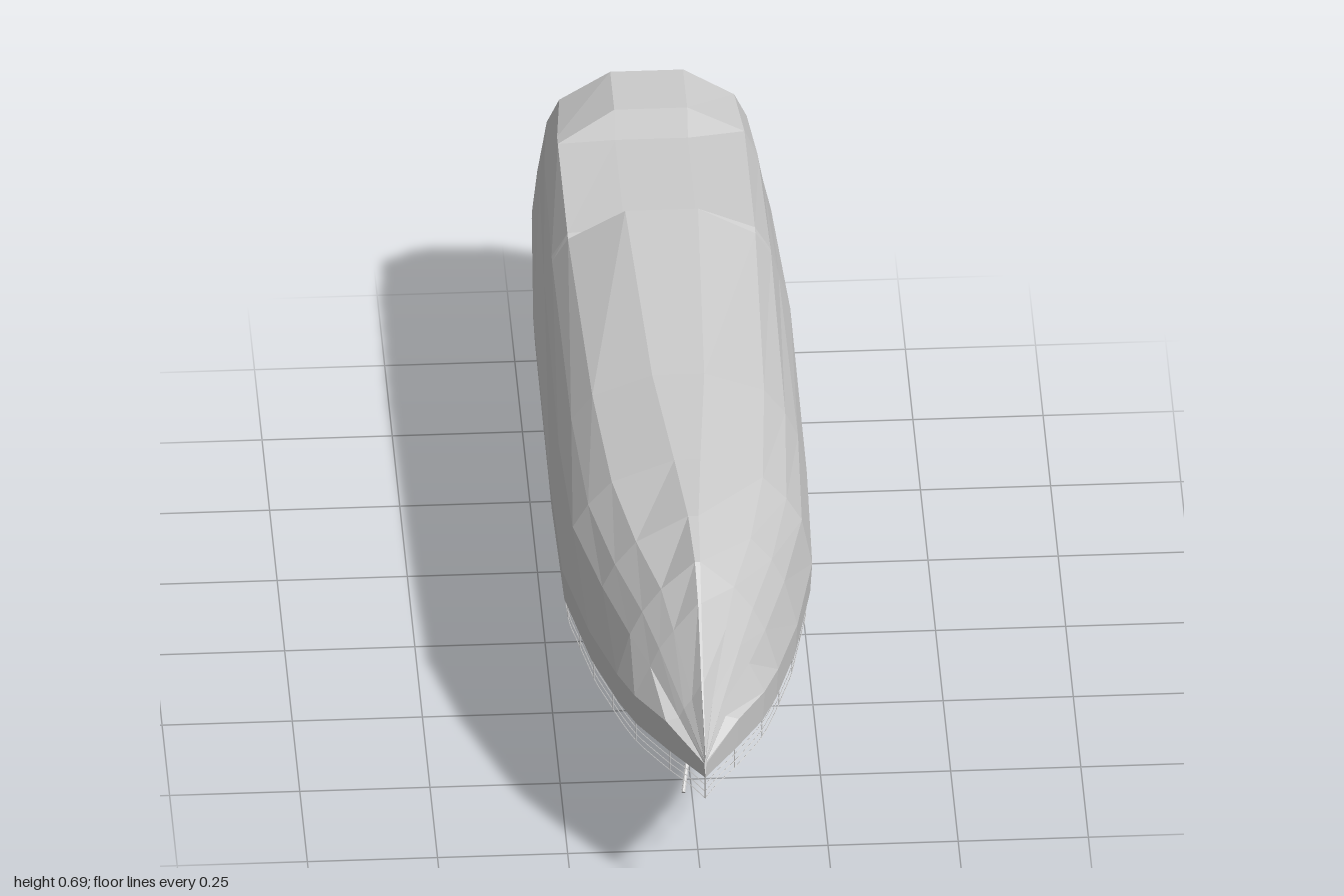
import * as THREE from 'three';

const mat = new THREE.MeshStandardMaterial({ color: 0xcccccc, flatShading: true, side: THREE.DoubleSide });

// Hull stations: z, half beam, deck y, side x/y, bilge x/y, keel x/y
const STATIONS = [
  [1.0, 0.002, 0.325, 0.001, 0.36, 0.001, 0.365, 0, 0.37],
  [0.9, 0.07, 0.327, 0.045, 0.40, 0.02, 0.44, 0.002, 0.475],
  [0.81, 0.125, 0.33, 0.095, 0.46, 0.05, 0.54, 0.003, 0.60],
  [0.74, 0.155, 0.335, 0.13, 0.49, 0.07, 0.59, 0.005, 0.65],
  [0.6, 0.2, 0.345, 0.175, 0.51, 0.11, 0.61, 0.01, 0.665],
  [0.4, 0.24, 0.355, 0.22, 0.52, 0.145, 0.62, 0.025, 0.665],
  [0.1, 0.247, 0.37, 0.23, 0.52, 0.165, 0.625, 0.05, 0.667],
  [-0.45, 0.247, 0.392, 0.225, 0.53, 0.18, 0.63, 0.07, 0.69],
  [-0.465, 0.246, 0.393, 0.225, 0.53, 0.18, 0.634, 0.07, 0.64],
  [-0.785, 0.23, 0.40, 0.215, 0.53, 0.18, 0.632, 0.07, 0.637],
  [-0.81, 0.228, 0.40, 0.213, 0.53, 0.18, 0.632, 0.07, 0.69],
  [-0.945, 0.21, 0.405, 0.2, 0.53, 0.168, 0.63, 0.07, 0.69],
];

function add(parent, name, geometry) {
  const mesh = new THREE.Mesh(geometry, mat);
  mesh.name = name;
  parent.add(mesh);
  return mesh;
}

function box(parent, name, w, h, d, x, y, z) {
  return add(parent, name, new THREE.BoxGeometry(w, h, d).translate(x, y, z));
}

// Round bar from a to b
function rod(parent, name, a, b, ra, rb = ra, sides = 12) {
  const p = new THREE.Vector3(...a), q = new THREE.Vector3(...b);
  const dir = q.clone().sub(p);
  const mesh = add(parent, name, new THREE.CylinderGeometry(rb, ra, dir.length(), sides));
  mesh.position.copy(p).add(q).multiplyScalar(0.5);
  mesh.quaternion.setFromUnitVectors(new THREE.Vector3(0, 1, 0), dir.normalize());
  return mesh;
}

// Side profile of [z, y] corners, extruded across the beam
function profile(parent, name, corners, halfWidth, x = 0) {
  const shape = new THREE.Shape(corners.map(([z, y]) => new THREE.Vector2(z, y)));
  const g = new THREE.ExtrudeGeometry(shape, { depth: halfWidth * 2, bevelEnabled: false });
  return add(parent, name, g.translate(0, 0, -halfWidth).rotateY(-Math.PI / 2).translate(x, 0, 0));
}

function hullGeometry() {
  const rings = STATIONS.map(([z, hw, deck, sx, sy, bx, by, kx, ky]) => {
    const lip = Math.max(hw - 0.008, 0);
    const half = [[lip, deck + 0.008], [lip, deck], [Math.max(hw - 0.004, 0), deck],
      [hw, deck + Math.min(0.065, (ky - deck) * 0.7)], [sx, sy],
      [(sx + bx) / 2 + 0.008 * Math.min(1, hw * 5), (sy + by) / 2], [bx, by], [kx, ky]];
    const other = half.map(([x, y]) => [-x, y]).reverse();
    return [...half, ...other].map(([x, y]) => [x, y, z]);
  });
  const n = rings[0].length, index = [];
  for (let i = 0; i < rings.length - 1; i++) {
    for (let j = 0; j < n; j++) {
      const a = i * n + j, b = i * n + (j + 1) % n;
      index.push(a, b, a + n, b, b + n, a + n);
    }
  }
  // Transom
  const last = (rings.length - 1) * n;
  for (let j = 1; j < n - 1; j++) index.push(last, last + j, last + j + 1);
  const g = new THREE.BufferGeometry();
  g.setAttribute('position', new THREE.Float32BufferAttribute(rings.flat(2), 3));
  g.setIndex(index);
  g.computeVertexNormals();
  return g;
}

// Deck edge point at z
function deckEdge(z) {
  let i = 0;
  while (i < STATIONS.length - 2 && STATIONS[i + 1][0] > z) i++;
  const a = STATIONS[i], b = STATIONS[i + 1], t = (z - a[0]) / (b[0] - a[0]);
  return [Math.max(0, a[1] + (b[1] - a[1]) * t - 0.012), a[2] + (b[2] - a[2]) * t];
}

function railings(root) {
  const g = new THREE.Group();
  g.name = 'railings';
  root.add(g);
  const steps = 25;
  for (const side of [1, -1]) {
    for (const drop of [0.02, 0.035, 0.05]) {
      const pts = [];
      for (let i = 0; i <= steps; i++) {
        const z = 0.995 - 1.22 * i / steps, [x, y] = deckEdge(z);
        pts.push(new THREE.Vector3(side * x, y - drop, z));
      }
      add(g, 'rail', new THREE.TubeGeometry(new THREE.CatmullRomCurve3(pts), 60, 0.001, 4));
    }
    for (let i = 0; i <= 12; i++) {
      const z = 0.995 - 1.22 * i / 12, [x, y] = deckEdge(z);
      rod(g, 'railPost', [side * x, y + 0.005, z], [side * x, y - 0.05, z], 0.001, 0.001, 4);
    }
  }
}

function superstructure(root) {
  const g = new THREE.Group();
  g.name = 'superstructure';
  root.add(g);
  profile(g, 'deckhouse', [[0.37, 0.38], [0.335, 0.17], [0.1, 0.17], [-0.07, 0.29], [-0.07, 0.39]], 0.12);
  // Flared bridge: a tapered four-sided block
  const flare = new THREE.CylinderGeometry(Math.SQRT1_2, Math.SQRT1_2, 1, 4).rotateY(Math.PI / 4);
  const p = flare.attributes.position;
  for (let i = 0; i < p.count; i++) {
    const low = p.getY(i) < 0;
    p.setXYZ(i, Math.sign(p.getX(i)) * (Math.abs(p.getX(i)) < 0.1 ? 0 : low ? 0.133 : 0.12),
      low ? 0.125 : 0.17, p.getZ(i) > 0.1 ? (low ? 0.343 : 0.335) : p.getZ(i) < -0.1 ? 0.1 : 0.22);
  }
  add(g, 'bridge', flare);
  // Mast base and after platforms
  profile(g, 'mastBase', [[0.11, 0.25], [0.1, 0.13], [-0.01, 0.13], [-0.022, 0.23], [-0.06, 0.29]], 0.045);
  profile(g, 'afterHouse', [[-0.05, 0.39], [-0.03, 0.29], [-0.1, 0.265], [-0.22, 0.265], [-0.24, 0.29], [-0.36, 0.30], [-0.4, 0.39]], 0.075);
  for (const s of [1, -1]) {
    profile(g, 'sideHouse', [[-0.06, 0.39], [-0.06, 0.295], [-0.16, 0.315], [-0.24, 0.345], [-0.26, 0.39]], 0.022, s * 0.094);
    box(g, 'platformLocker', 0.035, 0.025, 0.05, s * 0.045, 0.255, -0.12);
    box(g, 'platformLocker', 0.03, 0.02, 0.04, s * 0.04, 0.258, -0.2);
  }
  rod(g, 'afterDirectorPost', [0, 0.30, -0.31], [0, 0.265, -0.31], 0.014, 0.018);
  rod(g, 'afterDirector', [0, 0.262, -0.33], [0, 0.255, -0.295], 0.024, 0.024, 10);
}

function radar(root) {
  const g = new THREE.Group();
  g.name = 'radar';
  root.add(g);
  rod(g, 'radarPost', [0, 0.14, 0.045], [0, 0.08, 0.05], 0.02);
  rod(g, 'radarDrum', [0, 0.084, 0.037], [0, 0.047, 0.092], 0.058, 0.055, 10);
  rod(g, 'radarBack', [0, 0.097, 0.012], [0, 0.084, 0.037], 0.035, 0.058, 10);
}

function bowGun(root) {
  const g = new THREE.Group();
  g.name = 'bowGun';
  root.add(g);
  rod(g, 'gunRing', [0, 0.36, 0.57], [0, 0.32, 0.57], 0.08, 0.07, 16);
  profile(g, 'gunHouse', [[0.64, 0.33], [0.665, 0.3], [0.62, 0.225], [0.52, 0.22], [0.49, 0.25], [0.49, 0.315], [0.51, 0.33]], 0.062);
  for (const s of [1, -1]) {
    profile(g, 'gunCheek', [[0.62, 0.32], [0.635, 0.29], [0.6, 0.235], [0.53, 0.235], [0.505, 0.26], [0.51, 0.32]], 0.008, s * 0.069);
    box(g, 'gunSight', 0.032, 0.012, 0.05, s * 0.046, 0.219, 0.57);
  }
  rod(g, 'barrelSleeve', [0, 0.26, 0.615], [-0.009, 0.217, 0.673], 0.012, 0.008);
  rod(g, 'barrel', [-0.009, 0.217, 0.673], [-0.029, 0.145, 0.77], 0.005, 0.004, 8);
}

// Banded round launcher on one side of the deck
function sideLauncher(root, s) {
  const g = new THREE.Group();
  g.name = s > 0 ? 'leftLauncher' : 'rightLauncher';
  root.add(g);
  const at = (t, dx = 0, dy = 0) => [s * 0.18 + dx, 0.295 + 0.032 * t + dy, -0.31 - 0.33 * t];
  rod(g, 'launcherBody', at(0.04), at(0.96), 0.037, 0.037, 14);
  for (const t of [0, 0.18, 0.4, 0.6, 0.8, 0.96]) rod(g, 'launcherBand', at(t), at(t + 0.04), 0.043, 0.043, 14);
  for (const [dx, dy] of [[0.022, 0.018], [-0.022, 0.018], [0.022, -0.018], [-0.022, -0.018]]) {
    rod(g, 'launcherTube', at(-0.03, dx, dy), at(1.02, dx, dy), 0.02, 0.02, 10);
  }
  rod(g, 'lowerTube', at(0.02, 0, -0.04), at(0.6, 0, -0.04), 0.009, 0.009, 8);
  for (const t of [0.2, 0.5, 0.8]) {
    for (const dx of [-0.025, 0.025]) rod(g, 'launcherLeg', at(t, dx), [s * 0.18 + dx, 0.405, at(t)[2]], 0.006, 0.006, 6);
  }
}

// Two rows of slanted tubes amidships aft
function tubeRack(root) {
  const g = new THREE.Group();
  g.name = 'tubeRack';
  root.add(g);
  for (let i = 0; i < 4; i++) {
    const x = (i - 1.5) * 0.042;
    rod(g, 'upperTube', [x, 0.242, -0.535], [x, 0.375, -0.665], 0.018, 0.018, 10);
    rod(g, 'lowerTube', [x, 0.212, -0.57], [x, 0.345, -0.705], 0.018, 0.018, 10);
  }
  for (const x of [-0.06, 0.06]) {
    rod(g, 'rackLeg', [x, 0.27, -0.56], [x, 0.405, -0.56], 0.007, 0.007, 6);
    rod(g, 'rackLeg', [x, 0.35, -0.67], [x, 0.405, -0.67], 0.007, 0.007, 6);
  }
}

function sternGun(root) {
  const g = new THREE.Group();
  g.name = 'sternGun';
  root.add(g);
  rod(g, 'sternGunBase', [0, 0.41, -0.835], [0, 0.37, -0.835], 0.04, 0.048);
  rod(g, 'sternGunRing', [0, 0.37, -0.835], [0, 0.35, -0.835], 0.048, 0.038);
  for (const s of [1, -1]) rod(g, 'sternGunCheek', [s * 0.012, 0.325, -0.835], [s * 0.03, 0.325, -0.835], 0.026, 0.022, 10);
  rod(g, 'sternGunMount', [0, 0.355, -0.835], [0, 0.31, -0.835], 0.016);
  rod(g, 'sternGunBarrel', [0, 0.318, -0.84], [0, 0.275, -0.9], 0.004, 0.003, 6);
}

export function createModel() {
  const root = new THREE.Group();
  root.name = 'upturnedPatrolBoat';
  add(root, 'hull', hullGeometry());
  profile(root, 'transomLedge', [[-0.94, 0.52], [-0.975, 0.515], [-1, 0.505], [-1, 0.497], [-0.94, 0.485]], 0.16, -0.012);
  railings(root);
  superstructure(root);
  radar(root);
  bowGun(root);
  for (const s of [1, -1]) sideLauncher(root, s);
  tubeRack(root);
  sternGun(root);
  return root;
}
